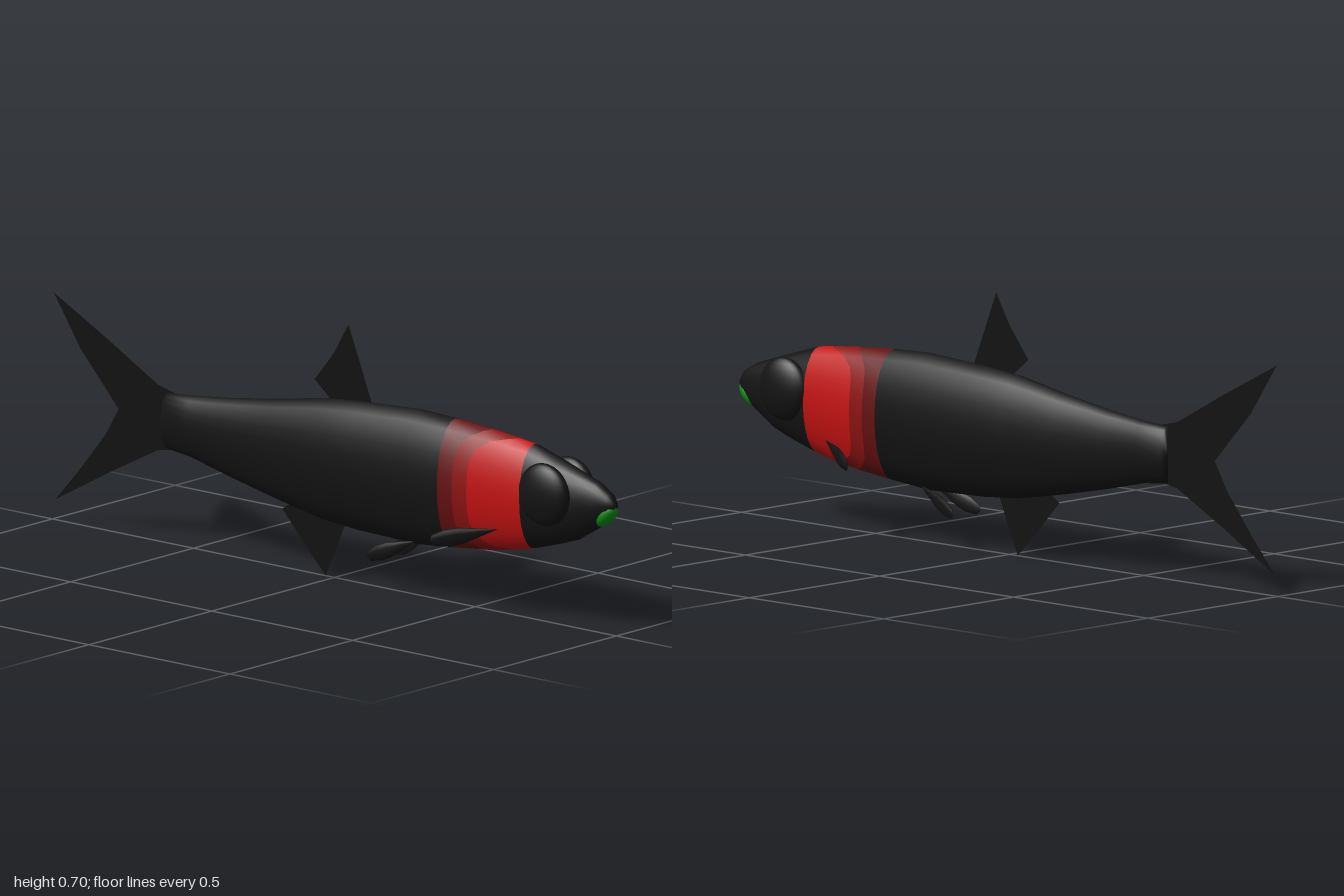
import * as THREE from 'three';

const mat = (name, color, side = THREE.FrontSide) => {
  const m = new THREE.MeshStandardMaterial({ color, side });
  m.name = name;
  return m;
};

// Body stations: z, top y, bottom y, half width
const STATIONS = [
  [-0.59, 0.42, 0.265, 0.032], [-0.5, 0.425, 0.255, 0.037], [-0.37, 0.44, 0.225, 0.045],
  [-0.2, 0.465, 0.19, 0.056], [-0.03, 0.495, 0.16, 0.072], [0.1, 0.507, 0.15, 0.077],
  [0.3, 0.518, 0.145, 0.079], [0.43, 0.513, 0.157, 0.077], [0.6, 0.502, 0.175, 0.069],
  [0.71, 0.488, 0.2, 0.063], [0.8, 0.462, 0.226, 0.058], [0.87, 0.44, 0.25, 0.046],
  [0.94, 0.418, 0.292, 0.034], [0.98, 0.395, 0.328, 0.023], [0.998, 0.372, 0.35, 0.01],
];
const SIDES = 24;

function station(z) {
  let i = 0;
  while (i < STATIONS.length - 2 && z > STATIONS[i + 1][0]) i++;
  const a = STATIONS[i], b = STATIONS[i + 1];
  const t = THREE.MathUtils.clamp((z - a[0]) / (b[0] - a[0]), 0, 1);
  return a.map((v, k) => v + (b[k] - v) * t);
}

// Loft of oval rings; each ring is a function giving z for an angle
function loft(rings, capBack, capFront) {
  const pos = [], idx = [];
  rings.forEach((ring) => {
    for (let s = 0; s <= SIDES; s++) {
      const a = (s / SIDES) * Math.PI * 2;
      const z = ring(a);
      const [, top, bottom, w] = station(z);
      pos.push(Math.sin(a) * w, (top + bottom) / 2 + Math.cos(a) * (top - bottom) / 2, z);
    }
  });
  const n = SIDES + 1;
  for (let r = 0; r < rings.length - 1; r++) {
    for (let s = 0; s < SIDES; s++) {
      const a = r * n + s, b = a + 1, c = a + n, d = c + 1;
      idx.push(a, c, b, b, c, d);
    }
  }
  const cap = (r, flip) => {
    const z = rings[r](0), [, top, bottom] = station(z), centre = pos.length / 3;
    pos.push(0, (top + bottom) / 2, z);
    for (let s = 0; s < SIDES; s++) {
      const a = r * n + s;
      idx.push(centre, flip ? a : a + 1, flip ? a + 1 : a);
    }
  };
  if (capBack) cap(0, true);
  if (capFront) cap(rings.length - 1, false);
  const g = new THREE.BufferGeometry();
  g.setAttribute('position', new THREE.Float32BufferAttribute(pos, 3));
  g.setIndex(idx);
  g.computeVertexNormals();
  return g;
}

// Flat fin in the middle plane, outlined by [z, y] points
function flatFin(points) {
  const shape = new THREE.Shape(points.map(([z, y]) => new THREE.Vector2(-z, y)));
  return new THREE.ShapeGeometry(shape).rotateY(Math.PI / 2);
}

// Leaf-shaped paired fin from root to tip, thin across and broad along its width
function bladeFin(root, tip, width, thickness) {
  const profile = [[0, 0], [0.45, 0.25], [0.95, 0.55], [1, 0.75], [0.65, 0.95], [0, 1]];
  const g = new THREE.LatheGeometry(profile.map(([x, y]) => new THREE.Vector2(x, y)), 10);
  const along = new THREE.Vector3().subVectors(tip, root);
  const dir = along.clone().normalize();
  const across = new THREE.Vector3().crossVectors(dir, new THREE.Vector3(0, 0.97, 0.24)).normalize();
  const broad = new THREE.Vector3().crossVectors(across, dir);
  g.scale(thickness / 2, along.length(), width / 2);
  g.applyMatrix4(new THREE.Matrix4().makeBasis(across, dir, broad).setPosition(root));
  return g;
}

export function createModel() {
  const group = new THREE.Group();
  const black = mat('black', 0x131313);
  const finBlack = mat('fin black', 0x111111, THREE.DoubleSide);
  const red = mat('bright red', 0xc41212);
  const midRed = mat('medium red', 0x8e1212);
  const darkRed = mat('dark red', 0x661010);
  const green = mat('green', 0x118a18);

  const add = (name, geometry, material) => {
    const mesh = new THREE.Mesh(geometry, material);
    mesh.name = name;
    group.add(mesh);
    return mesh;
  };

  // Body in bands; the inner red edges curve forward over the back and belly
  const flat = (z) => () => z;
  const curved = (z, bend) => (a) => z + bend * Math.abs(Math.cos(a)) ** 6;
  const between = (from, to) => STATIONS.map((s) => s[0]).filter((z) => z >= from && z <= to).map(flat);
  const redEdge = curved(0.53, 0.13), midEdge = curved(0.48, 0.08);
  const blend = (p, q, t) => (a) => p(a) + (q(a) - p(a)) * t;
  add('rearBody', loft(between(-0.6, 0.43), true, false), black);
  add('darkBand', loft([flat(0.43), midEdge], false, false), darkRed);
  add('middleBand', loft([midEdge, redEdge], false, false), midRed);
  add('brightBand', loft([redEdge, blend(redEdge, flat(0.71), 0.5), flat(0.71)], false, false), red);
  add('head', loft(between(0.71, 1), false, true), black);

  // Mouth patch at the underside of the snout
  const mouth = add('mouth', new THREE.SphereGeometry(1, 16, 10), green);
  mouth.scale.set(0.026, 0.024, 0.044);
  mouth.position.set(0, 0.332, 0.964);
  mouth.rotation.x = -0.75;

  // Vertical fins
  add('dorsalFin', flatFin([[0.14, 0.49], [0.05, 0.71], [0, 0.625], [-0.07, 0.54], [-0.02, 0.5], [0, 0.47]]), finBlack);
  add('analFin', flatFin([[0.05, 0.18], [0.04, 0.16], [-0.03, 0.005], [-0.1, 0.075], [-0.185, 0.165], [-0.13, 0.2], [-0.1, 0.22]]), finBlack);
  add('tailFin', flatFin([
    [-0.56, 0.42], [-0.625, 0.435], [-0.8, 0.53], [-0.995, 0.63], [-0.9, 0.49], [-0.82, 0.405],
    [-0.765, 0.345], [-0.81, 0.27], [-0.9, 0.16], [-0.99, 0.06], [-0.8, 0.165], [-0.625, 0.255], [-0.56, 0.267],
  ]), finBlack);

  // Paired parts
  for (const [label, s] of [['left', 1], ['right', -1]]) {
    const eye = add(label + 'Eye', new THREE.SphereGeometry(1, 24, 16), black);
    eye.scale.set(0.034, 0.086, 0.086);
    eye.position.set(s * 0.052, 0.37, 0.79);
    add(label + 'PectoralFin', bladeFin(
      new THREE.Vector3(s * 0.058, 0.25, 0.63), new THREE.Vector3(s * 0.146, 0.207, 0.465), 0.05, 0.016), black);
    add(label + 'PelvicFin', bladeFin(
      new THREE.Vector3(s * 0.024, 0.16, 0.31), new THREE.Vector3(s * 0.052, 0.098, 0.16), 0.045, 0.013), black);
  }
  return group;
}
